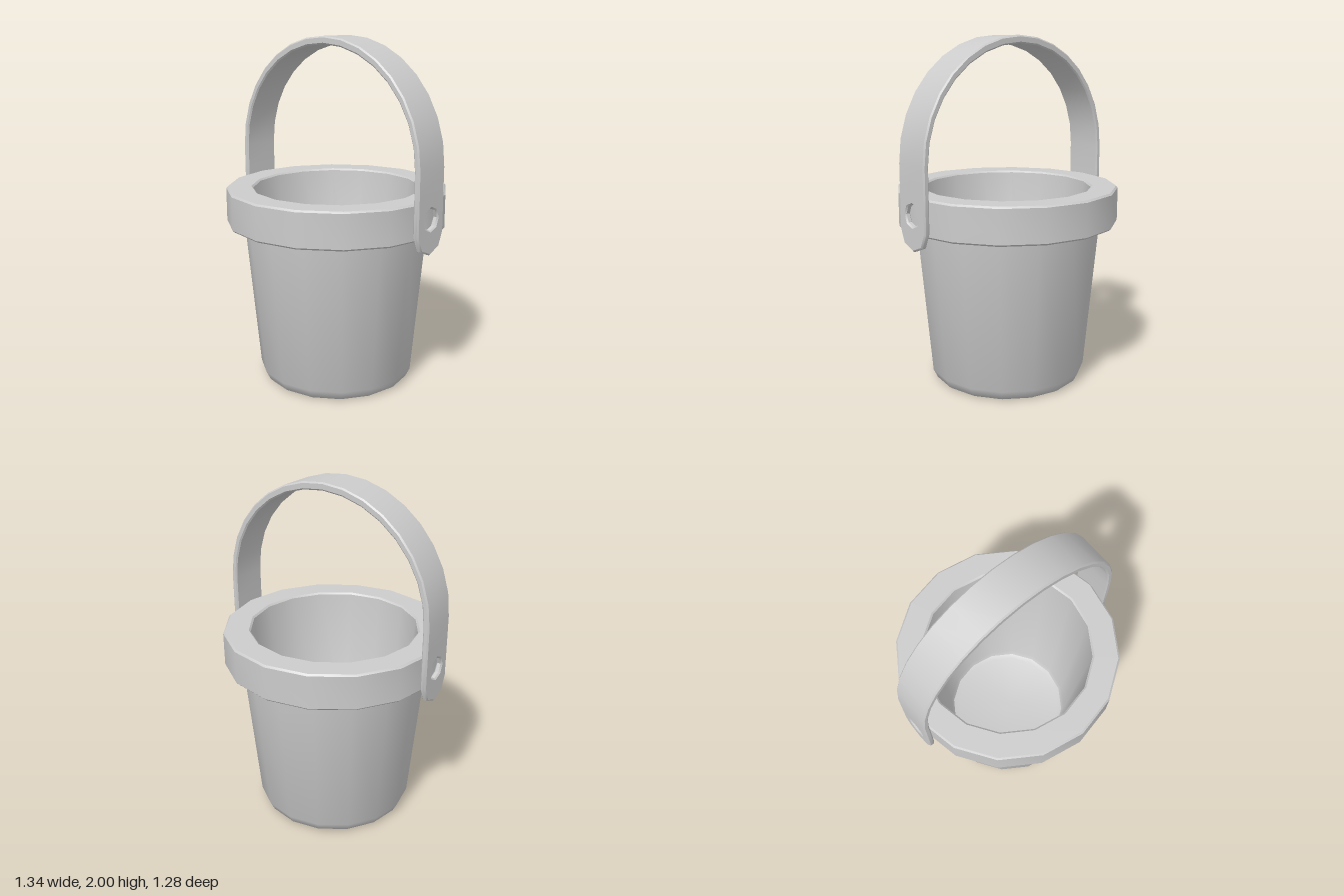
import * as THREE from 'three';
import { toCreasedNormals } from 'three/addons/utils/BufferGeometryUtils.js';

const SIDES = 16;
const HALF_WIDTH = 0.115; // half the strap width
const INNER = 0.635, OUTER = 0.67; // strap faces, measured from the middle
const SPRING = 1.33; // height where the arch begins
const JOIN = 1.2; // height where arch meets end plates
const BEVEL = 0.008;

const material = new THREE.MeshStandardMaterial({ color: 0xcccccc });

function addMesh(parent, name, geometry, crease = 0.6) {
  const mesh = new THREE.Mesh(toCreasedNormals(geometry, crease), material);
  mesh.name = name;
  parent.add(mesh);
  return mesh;
}

function lathe(profile) {
  return new THREE.LatheGeometry(profile.map(([r, y]) => new THREE.Vector2(r, y)), SIDES);
}

// Extrusion with a small bevel, centred on z = 0, that keeps the given outline as its maximum
function bevelled(shape, thickness) {
  const geometry = new THREE.ExtrudeGeometry(shape, {
    depth: thickness - 2 * BEVEL, bevelThickness: BEVEL, bevelSize: BEVEL,
    bevelOffset: -BEVEL, bevelSegments: 1, curveSegments: 4,
  });
  return geometry.translate(0, 0, BEVEL - thickness / 2);
}

function archShape() {
  const outer = [], inner = [];
  for (let i = 0; i <= SIDES; i++) {
    const a = (i / SIDES) * Math.PI;
    outer.push(new THREE.Vector2(OUTER * Math.cos(a), SPRING + OUTER * Math.sin(a)));
    inner.push(new THREE.Vector2(INNER * Math.cos(a), SPRING + (INNER - 0.01) * Math.sin(a)));
  }
  const foot = (x) => new THREE.Vector2(x, JOIN - 0.02);
  return new THREE.Shape([
    foot(OUTER), ...outer, foot(-OUTER), foot(-INNER), ...inner.reverse(), foot(INNER),
  ]);
}

// Strap end with a rounded tip and a pivot hole
function endShape() {
  const tip = 0.86 + HALF_WIDTH;
  const shape = new THREE.Shape();
  shape.moveTo(HALF_WIDTH, JOIN);
  shape.lineTo(-HALF_WIDTH, JOIN);
  for (let i = 0; i <= 4; i++) {
    const a = Math.PI + (i / 4) * Math.PI;
    shape.lineTo(HALF_WIDTH * Math.cos(a), tip + HALF_WIDTH * Math.sin(a));
  }
  shape.closePath();
  const hole = [];
  for (let i = 0; i < 8; i++) {
    const a = -(i / 8) * Math.PI * 2;
    hole.push(new THREE.Vector2(0.062 * Math.cos(a), 1.06 + 0.062 * Math.sin(a)));
  }
  shape.holes.push(new THREE.Path(hole));
  return shape;
}

export function createModel() {
  const model = new THREE.Group();
  model.name = 'bucket';

  // Tapered body, thick rim and hollow inside as one closed profile
  addMesh(model, 'body', lathe([
    [0, 0], [0.42, 0], [0.435, 0.01], [0.46, 0.06], [0.54, 0.94],
    [0.63, 0.94], [0.64, 0.95], [0.64, 1.14], [0.63, 1.15],
    [0.495, 1.15], [0.485, 1.14], [0.39, 0.1], [0.375, 0.07], [0.345, 0.06], [0, 0.06],
  ]));

  // Carrying handle: an arch with a pierced plate at each end
  const handle = new THREE.Group();
  handle.name = 'handle';
  model.add(handle);
  addMesh(handle, 'handleArch', bevelled(archShape(), 2 * HALF_WIDTH));
  for (const [name, turn] of [['leftHandleEnd', 0], ['rightHandleEnd', Math.PI]]) {
    const plate = bevelled(endShape(), OUTER - INNER)
      .translate(0, 0, (OUTER + INNER) / 2)
      .rotateY(Math.PI / 2 + turn);
    addMesh(handle, name, plate);
  }
  return model;
}
